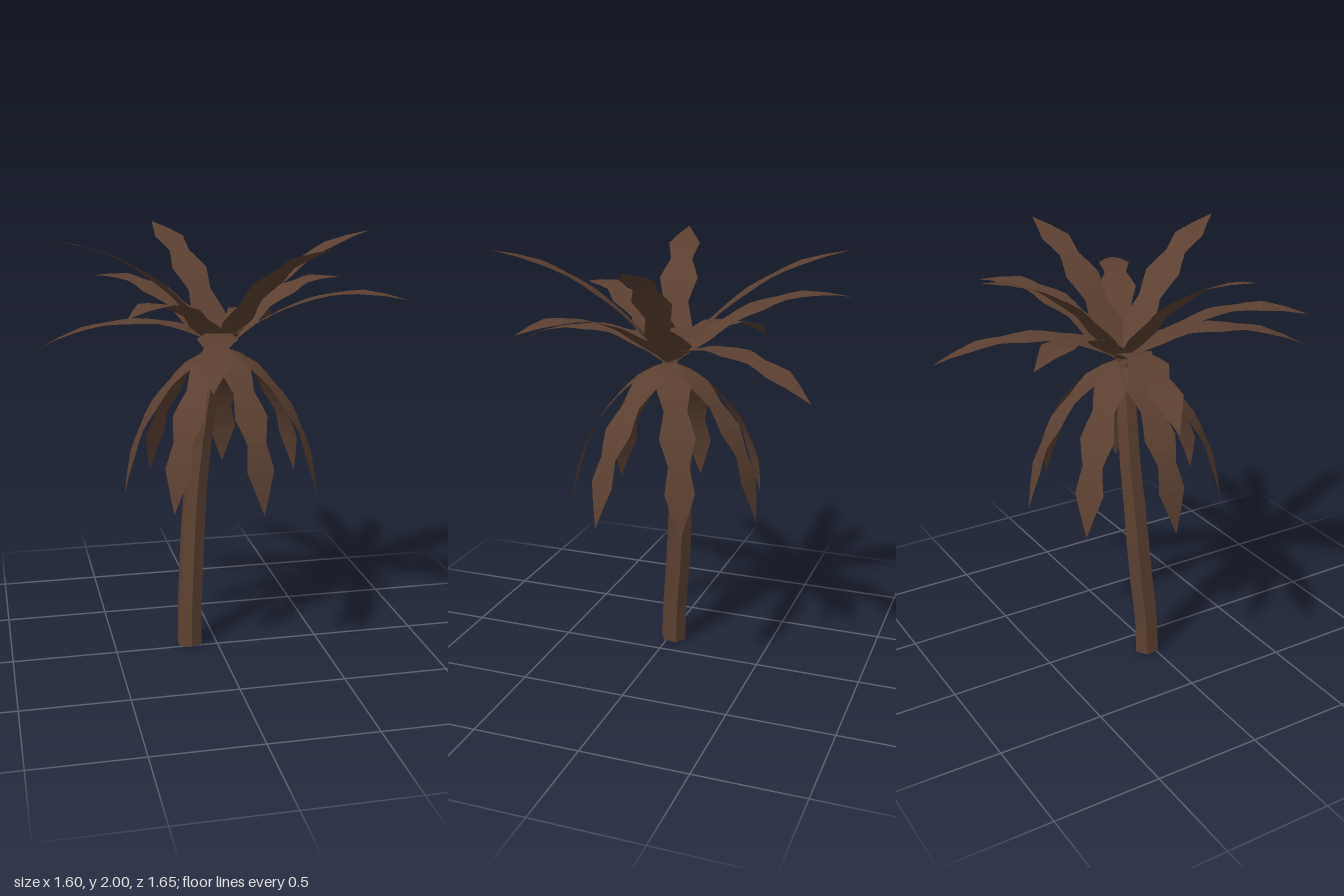
import * as THREE from 'three';

const bark = new THREE.MeshStandardMaterial({ color: 0x5c4031, side: THREE.DoubleSide, flatShading: true });
bark.name = 'dark brown';

const CROWN = { x: 0.03, z: -0.06 };

// Frond outline: [position along the frond, half width]
const OUTLINE = [[0, 0.035], [0.2, 0.088], [0.34, 0.058], [0.49, 0.09], [0.63, 0.052], [0.77, 0.075], [1, 0]];

// Arch of each tier: [fraction of reach, height]
const ARCHES = {
  rising: [[0, 1.48], [0.14, 1.6], [0.3, 1.73], [0.5, 1.85], [0.75, 1.95], [1, 2.0]],
  level: [[0, 1.48], [0.18, 1.59], [0.37, 1.68], [0.55, 1.735], [0.78, 1.76], [1, 1.73]],
  arching: [[0, 1.48], [0.12, 1.545], [0.27, 1.585], [0.5, 1.595], [0.8, 1.545], [1, 1.46]],
  drooping: [[0, 1.475], [0.24, 1.43], [0.53, 1.31], [0.77, 1.15], [0.92, 0.97], [1, 0.79]],
};

// Flat leaf strip that follows an arch from the crown to a tip at (x, z)
function frond(tier, x, z, widthScale = 1) {
  const dx = x - CROWN.x, dz = z - CROWN.z;
  const reach = Math.hypot(dx, dz);
  const sideX = -dz / reach, sideZ = dx / reach;
  const curve = new THREE.CatmullRomCurve3(
    ARCHES[tier].map(([f, y]) => new THREE.Vector3(CROWN.x + dx * f, y, CROWN.z + dz * f)));
  const pos = [], index = [];
  const addRow = (t, w) => {
    const p = curve.getPointAt(t), h = w * widthScale;
    pos.push(p.x + sideX * h, p.y, p.z + sideZ * h, p.x - sideX * h, p.y, p.z - sideZ * h);
  };
  OUTLINE.forEach(([t, w], i) => {
    if (i > 0) addRow((t + OUTLINE[i - 1][0]) / 2, (w + OUTLINE[i - 1][1]) / 2);
    addRow(t, w);
  });
  const rows = pos.length / 6;
  for (let i = 0; i < rows - 1; i++) {
    const a = i * 2;
    index.push(a, a + 1, a + 2);
    if (i < rows - 2) index.push(a + 1, a + 3, a + 2); // last row is a point
  }
  const geo = new THREE.BufferGeometry();
  geo.setAttribute('position', new THREE.Float32BufferAttribute(pos, 3));
  geo.setIndex(index);
  geo.computeVertexNormals();
  const mesh = new THREE.Mesh(geo, bark);
  mesh.name = tier + 'Frond';
  return mesh;
}

// Leaning six-sided trunk: rings of [x, y, z, radius]
function trunk() {
  const rings = [
    [-0.135, 0.005, -0.025, 0.063], [-0.132, 0.2, -0.032, 0.061], [-0.12, 0.4, -0.05, 0.062],
    [-0.108, 0.6, -0.063, 0.061], [-0.092, 0.8, -0.072, 0.058], [-0.068, 1.0, -0.08, 0.055],
    [-0.04, 1.2, -0.077, 0.053], [-0.01, 1.38, -0.067, 0.043], [0.005, 1.48, -0.06, 0.03],
  ];
  const geo = new THREE.CylinderGeometry(1, 1, 1, 6, rings.length - 1);
  const p = geo.attributes.position;
  for (let i = 0; i < p.count; i++) {
    const [x, y, z, r] = rings[Math.round((p.getY(i) + 0.5) * (rings.length - 1))];
    const tilt = y < 0.1 ? p.getZ(i) * 0.005 : 0;
    p.setXYZ(i, x + p.getX(i) * r, y + tilt, z + p.getZ(i) * r);
  }
  geo.computeVertexNormals();
  const mesh = new THREE.Mesh(geo, bark);
  mesh.name = 'trunk';
  return mesh;
}

export function createModel() {
  const model = new THREE.Group();
  model.name = 'palmTree';
  model.add(trunk());

  // Upper tiers, by tip position
  const tips = {
    rising: [[-0.17, -0.83], [0.77, -0.13], [0.37, 0.65], [-0.73, 0.11]],
    level: [[-0.52, -0.78], [0.77, -0.43], [0.8, 0.33], [-0.49, 0.58]],
    arching: [[0.45, -0.82], [-0.19, 0.82], [-0.8, -0.29]],
  };
  for (const tier in tips) {
    const group = new THREE.Group();
    group.name = tier + 'Fronds';
    for (const [x, z] of tips[tier]) group.add(frond(tier, x, z));
    model.add(group);
  }

  // Seven evenly spaced hanging fronds
  const skirt = new THREE.Group();
  skirt.name = 'droopingFronds';
  for (let i = 0; i < 7; i++) {
    const a = Math.PI + (i * Math.PI * 2) / 7;
    skirt.add(frond('drooping', CROWN.x + Math.cos(a) * 0.467, CROWN.z + Math.sin(a) * 0.467, 0.9));
  }
  model.add(skirt);
  return model;
}
